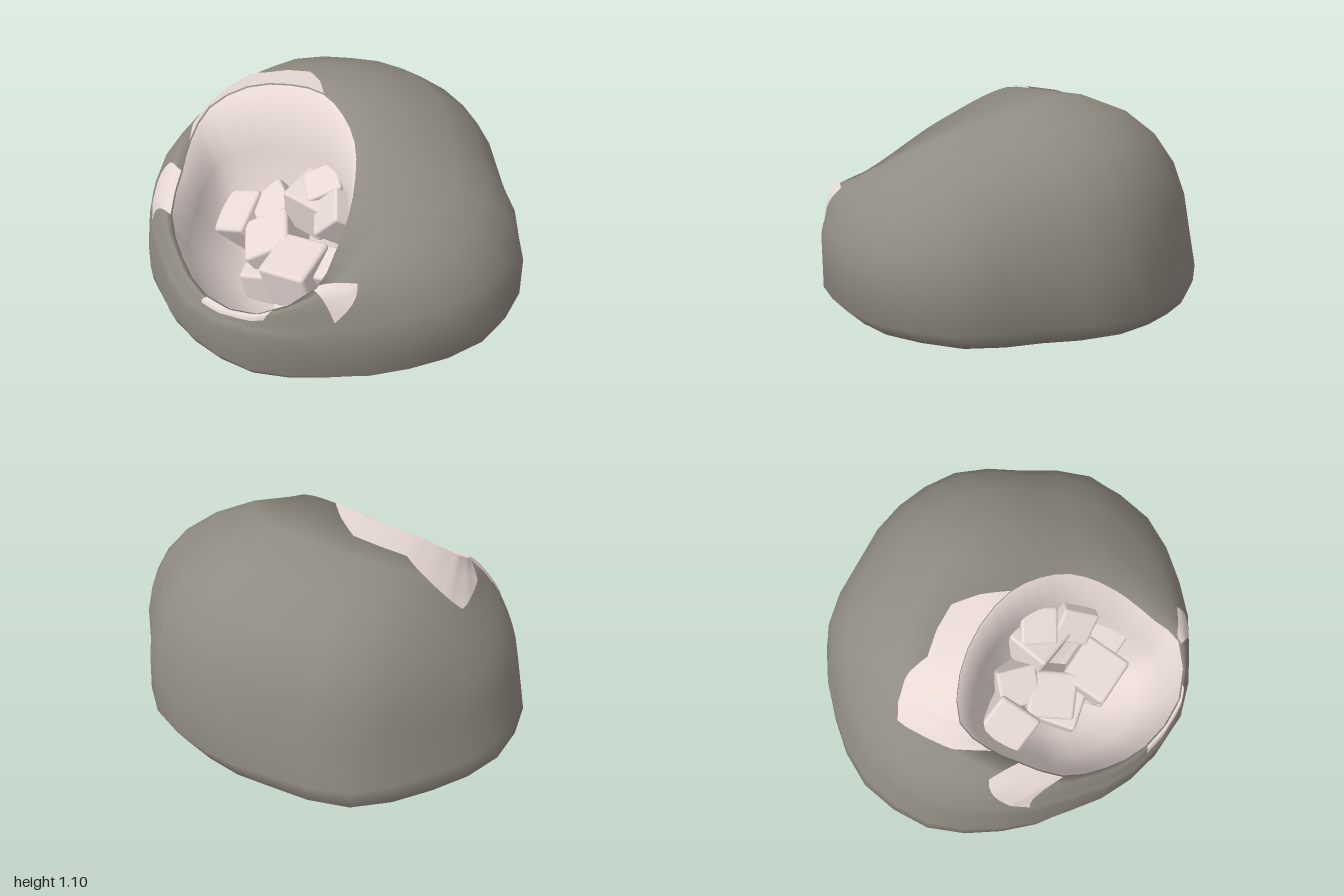
import * as THREE from 'three';
import { mergeVertices } from 'three/addons/utils/BufferGeometryUtils.js';
import { RoundedBoxGeometry } from 'three/addons/geometries/RoundedBoxGeometry.js';

const V = (x, y, z) => new THREE.Vector3(x, y, z);
const COLS = 32, ROWS = 6, HOLLOW_ROWS = 4;

// Ground outline: radius at 16 compass steps, from the back round past the left side
const OUTLINE = [.91, .94, .92, 1.01, 1, .94, .91, .93, .9, .88, .92, .985, 1, .97, .98, .91];

// Slanted rim of the hollow, in step with the outline
const RIM = new THREE.CatmullRomCurve3([
  [0, 1.08, .01], [.15, 1.05, .04], [.28, .99, .1], [.38, .91, .2],
  [.46, .8, .33], [.51, .7, .47], [.545, .63, .61], [.38, .5, .8],
  [.1, .46, .85], [-.12, .51, .8], [-.31, .6, .7], [-.43, .7, .53],
  [-.5, .79, .41], [-.53, .89, .26], [-.4, 1, .12], [-.2, 1.055, .03],
].map((p) => V(...p)), true);

// Point on the ground outline of column i, scaled and raised
function outline(i, scale, y) {
  const u = (i % COLS) * 16 / COLS, k = Math.floor(u);
  const r = THREE.MathUtils.lerp(OUTLINE[k], OUTLINE[(k + 1) % 16], u - k) * scale;
  const a = i / COLS * Math.PI * 2;
  return V(Math.sin(a) * r, y, -Math.cos(a) * r);
}

const rim = (i) => RIM.getPoint((i % COLS) / COLS);
const sideOf = (i) => Math.sin(i / COLS * Math.PI * 2);
const backOf = (i) => Math.max(0, Math.cos(i / COLS * Math.PI * 2));

// Curve from the upright wall over the shoulder to the rim
function shoulder(i, t) {
  const p = rim(i), back = backOf(i), left = Math.max(0, -sideOf(i));
  const w = outline(i, 1 - .065 * left - .02 * back, Math.min(.4, p.y - .1));
  const c1 = w.clone().multiplyScalar(.96).setY(w.y + (p.y - w.y) * .5);
  const c2 = p.clone().lerp(w, .6 + .22 * back).setY(p.y + .035 * back);
  return new THREE.CubicBezierCurve3(w, c1, c2, p).getPoint(t);
}

// Point on the faceted shoulder, between its columns and rows
function shoulderAt(col, t) {
  const i = Math.floor(col), j = Math.min(ROWS - 1, Math.floor(t * ROWS)), f = t * ROWS - j;
  const onColumn = (c) => shoulder(c, j / ROWS).lerp(shoulder(c, (j + 1) / ROWS), f);
  return onColumn(i).lerp(onColumn(i + 1), col - i);
}

// Smooth surface from columns of points, indexed row by row
function surface(columns, wrap) {
  const n = columns.length, m = columns[0].length, index = [];
  for (let j = 0; j < m - 1; j++) {
    for (let i = 0; i < (wrap ? n : n - 1); i++) {
      const a = i * m + j, b = ((i + 1) % n) * m + j;
      index.push(a, a + 1, b + 1, a, b + 1, b);
    }
  }
  const g = new THREE.BufferGeometry().setFromPoints(columns.flat());
  g.setIndex(index);
  const merged = mergeVertices(g, 1e-5);
  merged.computeVertexNormals();
  return merged;
}

export function createModel() {
  const group = new THREE.Group();
  const stone = new THREE.MeshStandardMaterial({ name: 'grey stone', color: 0x908b82 });
  const pale = new THREE.MeshStandardMaterial({ name: 'pale crystal', color: 0xe8d9d5, side: THREE.DoubleSide });
  const add = (geometry, material, name) => {
    const mesh = new THREE.Mesh(geometry, material);
    mesh.name = name;
    group.add(mesh);
    return mesh;
  };

  // Rock: shallow base, rounded foot, wall and shoulder, then the hollow inside the rim
  const rock = [];
  const floor = V(.02, .1, .3);
  for (let i = 0; i < COLS; i++) {
    const side = sideOf(i);
    const foot = side < 0 ? .96 - .04 * side : .96 - .05 * side;
    const col = [V(0, .045, 0), outline(i, .5, .052), outline(i, .8, .072),
      outline(i, foot * .95, .09), outline(i, foot, .11), outline(i, side < 0 ? 1 + .02 * side : 1, .19)];
    for (let j = 0; j <= ROWS; j++) col.push(shoulder(i, j / ROWS));
    const p = rim(i);
    const c1 = p.clone().lerp(floor, .1).setY(p.y + (floor.y - p.y) * .5);
    const c2 = floor.clone().lerp(p, .65).setY(floor.y);
    col.push(...new THREE.CubicBezierCurve3(p, c1, c2, floor).getPoints(HOLLOW_ROWS).slice(1));
    rock.push(col);
  }
  const rockGeometry = surface(rock, true);
  const shellCount = (6 + ROWS) * COLS * 6;
  rockGeometry.addGroup(0, shellCount, 0);
  rockGeometry.addGroup(shellCount, HOLLOW_ROWS * COLS * 6, 1);
  add(rockGeometry, [stone, pale], 'rockWithHollow');

  // Jagged chipped patches round the rim: [compass step, near edge, far edge]
  const chips = [
    [[11.9, 0, 0], [12, 0, .16], [12.6, 0, .32], [13.2, 0, .22], [14, 0, .1], [15, 0, .09], [16, 0, 0]],
    [[9.65, .77, .77], [10, 0, .65], [10.85, 0, .25], [11, 0, 0]],
    [[6.75, 0, 0], [6.8, 0, .5], [7.8, 0, .5], [7.95, 0, 0]],
    [[5.3, .3, .3], [5.9, 0, .72], [6.05, 0, 0]],
  ];
  for (const chip of chips) {
    const cols = [];
    for (let s = 0; s < chip.length - 1; s++) {
      for (let q = s ? 1 : 0; q <= 6; q++) {
        const [u, near, far] = chip[s].map((v, c) => THREE.MathUtils.lerp(v, chip[s + 1][c], q / 6));
        const col = [];
        for (let j = 0; j <= 8; j++) {
          const p = shoulderAt(u * COLS / 16, 1 - THREE.MathUtils.lerp(far, near, j / 8));
          col.push(p.addScaledVector(p.clone().sub(V(0, .35, .1)).normalize(), .008));
        }
        cols.push(col);
      }
    }
    add(surface(cols, false), pale, 'rimChip');
  }

  // Heap of tumbled crystal cubes: x, y, z, size, then turns about x, y, z
  const cubes = [
    [.21, .36, .39, .25, .2, .25, .1], [.06, .55, .13, .22, .15, .15, -.12],
    [.26, .6, .17, .18, .5, .7, .6], [.1, .62, .08, .18, .3, .9, .2],
    [-.02, .35, .31, .24, .3, .8, .3], [-.28, .33, .27, .24, .5, .3, .3],
    [-.13, .43, .18, .2, .2, 1.1, .5], [.36, .4, .3, .18, .4, .3, .2],
    [-.37, .15, .4, .2, .6, .4, .7], [.22, .2, .36, .22, .5, .6, .5],
    [0, .2, .38, .22, .1, .5, .1],
  ];
  for (const [x, y, z, size, rx, ry, rz] of cubes) {
    const cube = add(new RoundedBoxGeometry(size, size, size, 2, size * .08), pale, 'crystalCube');
    cube.position.set(x, y, z);
    cube.rotation.set(rx, ry, rz);
  }
  return group;
}
